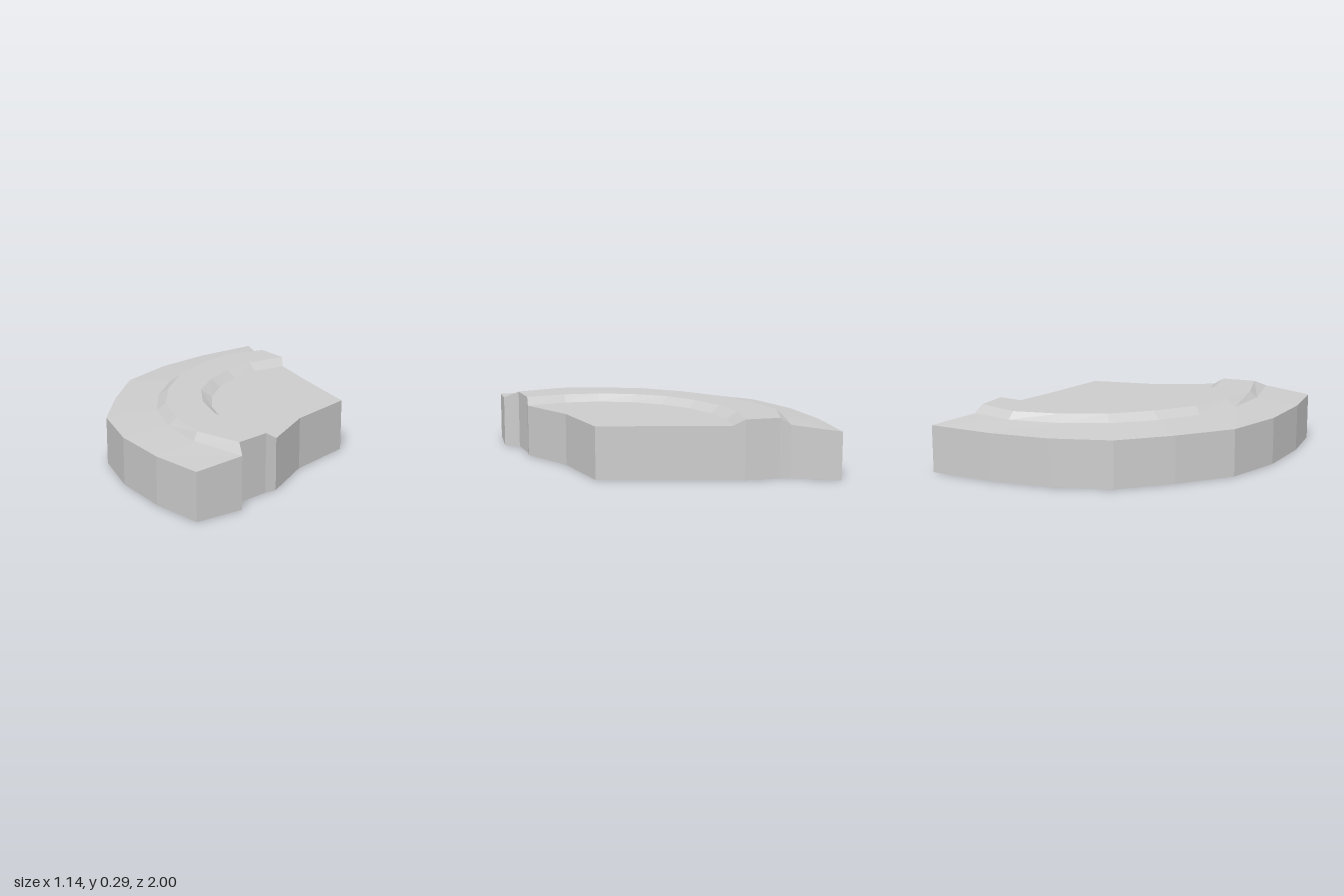
import * as THREE from 'three';

// Each arc runs from the back end to the front end as [x, z] pairs at one height.
const arc = (y, pts) => pts.map(([x, z]) => new THREE.Vector3(x, y, z));

const rim = arc(0.235, [[0.02, -1], [-0.22, -0.78], [-0.41, -0.55], [-0.55, -0.28], [-0.57, 0.02],
  [-0.56, 0.33], [-0.43, 0.6], [-0.24, 0.83], [-0.04, 1]]);
const ridgeOuterBase = arc(0.257, [[0.09, -0.77], [-0.09, -0.65], [-0.24, -0.44], [-0.325, -0.22], [-0.35, 0.02],
  [-0.325, 0.25], [-0.235, 0.485], [-0.09, 0.675], [0.145, 0.845]]);
const ridgeOuterTop = arc(0.292, [[0.12, -0.725], [-0.07, -0.62], [-0.2, -0.42], [-0.275, -0.21], [-0.3, 0.02],
  [-0.28, 0.25], [-0.2, 0.45], [-0.08, 0.64], [0.125, 0.765]]);
const ridgeInnerTop = arc(0.292, [[0.235, -0.6], [0.07, -0.475], [-0.035, -0.33], [-0.105, -0.16], [-0.135, 0.02],
  [-0.105, 0.2], [-0.03, 0.37], [0.08, 0.51], [0.235, 0.635]]);
const ridgeInnerBase = arc(0.257, [[0.245, -0.54], [0.1, -0.435], [0.01, -0.305], [-0.055, -0.15], [-0.08, 0.02],
  [-0.06, 0.19], [0.005, 0.35], [0.11, 0.48], [0.28, 0.6]]);
const point = arc(0.257, [[0.375, 0.31], [0.57, 0.02], [0.39, -0.28]]);

const ground = (p) => new THREE.Vector3(p.x, 0, p.z);
const quad = (a, b, c, d) => [a, b, c, a, c, d];

// Sloping or flat band between two matching arcs
function band(outer, inner) {
  const out = [];
  for (let i = 0; i < outer.length - 1; i++) out.push(...quad(outer[i], outer[i + 1], inner[i + 1], inner[i]));
  return out;
}

// Flat cap over a closed outline
function cap(loop, down = false) {
  const flat = loop.map((p) => new THREE.Vector2(p.x, -p.z));
  return THREE.ShapeUtils.triangulateShape(flat, [])
    .flatMap(([a, b, c]) => (down ? [c, b, a] : [a, b, c]).map((i) => loop[i]));
}

// Vertical walls from the outline down to the base
function walls(loop) {
  return loop.flatMap((p, i) => {
    const q = loop[(i + 1) % loop.length];
    return quad(ground(p), ground(q), q, p);
  });
}

export function createModel() {
  const group = new THREE.Group();
  group.name = 'curvedSlab';
  const stone = new THREE.MeshStandardMaterial({ color: 0xcccccc });
  stone.name = 'light grey stone';

  const add = (name, triangles) => {
    const geometry = new THREE.BufferGeometry().setFromPoints(triangles);
    geometry.computeVertexNormals(); // unshared corners give flat facets
    const mesh = new THREE.Mesh(geometry, stone);
    mesh.name = name;
    group.add(mesh);
  };

  // Full outline: curved rim, stepped front end, pointed side, stepped back end
  const arcs = [ridgeOuterBase, ridgeOuterTop, ridgeInnerTop, ridgeInnerBase];
  const outline = [
    ...rim,
    ...arcs.map((a) => a[a.length - 1]),
    ...point,
    ...arcs.map((a) => a[0]).reverse(),
  ];

  add('outerSlope', band(rim, ridgeOuterBase));
  add('ridgeOuterBevel', band(ridgeOuterBase, ridgeOuterTop));
  add('ridgeTop', band(ridgeOuterTop, ridgeInnerTop));
  add('ridgeInnerBevel', band(ridgeInnerTop, ridgeInnerBase));
  add('innerPlate', cap([...ridgeInnerBase, ...point]));
  add('sideWalls', walls(outline));
  add('underside', cap(outline.map(ground), true));
  return group;
}
